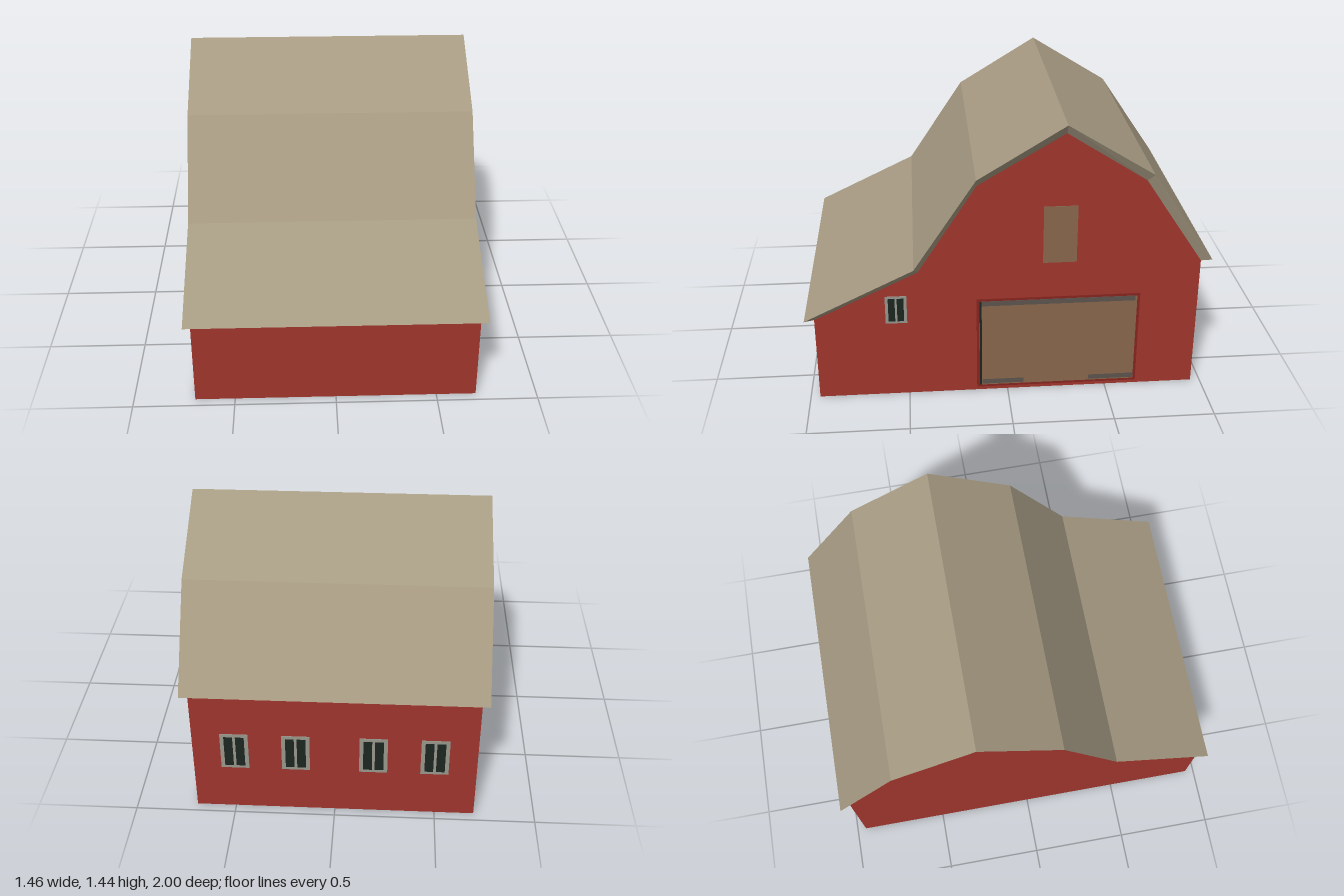
import * as THREE from 'three';

const mat = (name, color, side = THREE.FrontSide) => {
  const m = new THREE.MeshStandardMaterial({ color, side });
  m.name = name;
  return m;
};

export function createModel() {
  const red = mat('barn red', 0xa0352d);
  const darkRed = mat('trim red', 0x86241f);
  const tan = mat('roof tan', 0xa69a82, THREE.DoubleSide);
  const brown = mat('door brown', 0x89674b);
  const grey = mat('hardware grey', 0x5c534d);
  const pale = mat('window frame grey', 0x97978d);
  const glass = mat('dark glass', 0x1b2620);

  const barn = new THREE.Group();
  barn.name = 'barn';
  const WALL_X = 0.697, ROOF_X = 0.73, WALL_Z = 0.953;

  // Gable profiles as [z, y], from the front eave over the ridge to the back eave
  const outer = [[1, 0.46], [0.46, 0.72], [0.155, 1.18], [-0.27, 1.44], [-0.69, 1.18], [-1, 0.72]];
  const inner = [[WALL_Z, 0.45], [0.44, 0.692], [0.15, 1.14], [-0.27, 1.39], [-0.66, 1.14], [-WALL_Z, 0.7]];

  // Solid walls: gable outline extruded along x
  const outline = new THREE.Shape(
    [[WALL_Z, 0], ...inner, [-WALL_Z, 0]].map(([z, y]) => new THREE.Vector2(-z, y)));
  const wallGeo = new THREE.ExtrudeGeometry(outline, { depth: WALL_X * 2, bevelEnabled: false });
  wallGeo.translate(0, 0, -WALL_X).rotateY(Math.PI / 2);
  const walls = new THREE.Mesh(wallGeo, red);
  walls.name = 'walls';
  barn.add(walls);

  // Roof sheet with edges that slant in to meet the walls
  const pos = [];
  const pt = (x, [z, y]) => [x, y, z];
  const quad = (a, b, c, d) => pos.push(...a, ...b, ...c, ...a, ...c, ...d);
  for (let i = 0; i < outer.length - 1; i++) {
    const [o, p, q, r] = [outer[i], outer[i + 1], inner[i], inner[i + 1]];
    quad(pt(-ROOF_X, o), pt(ROOF_X, o), pt(ROOF_X, p), pt(-ROOF_X, p));
    quad(pt(ROOF_X, o), pt(WALL_X, q), pt(WALL_X, r), pt(ROOF_X, p));
    quad(pt(-ROOF_X, p), pt(-WALL_X, r), pt(-WALL_X, q), pt(-ROOF_X, o));
  }
  const last = outer.length - 1;
  quad(pt(-WALL_X, inner[0]), pt(WALL_X, inner[0]), pt(ROOF_X, outer[0]), pt(-ROOF_X, outer[0]));
  quad(pt(-ROOF_X, outer[last]), pt(ROOF_X, outer[last]), pt(WALL_X, inner[last]), pt(-WALL_X, inner[last]));
  const roofGeo = new THREE.BufferGeometry();
  roofGeo.setAttribute('position', new THREE.Float32BufferAttribute(pos, 3));
  roofGeo.computeVertexNormals();
  const roof = new THREE.Mesh(roofGeo, tan);
  roof.name = 'roof';
  barn.add(roof);

  // Thin plate lying on the local xy plane and rising to the given height
  const plate = (parent, name, m, x, y, w, h, t) => {
    const mesh = new THREE.Mesh(new THREE.BoxGeometry(w, h, t), m);
    mesh.position.set(x, y, t / 2);
    mesh.name = name;
    parent.add(mesh);
  };

  // Window: pale frame with two tall panes
  const makeWindow = (w, h) => {
    const g = new THREE.Group();
    g.name = 'window';
    plate(g, 'windowFrame', pale, 0, 0, w, h, 0.004);
    for (const s of [-1, 1]) plate(g, 'windowPane', glass, s * w * 0.205, 0, w * 0.31, h * 0.84, 0.006);
    return g;
  };

  // Four windows along the back wall
  for (const x of [-0.49, -0.19, 0.19, 0.49]) {
    const win = makeWindow(0.138, 0.21);
    win.position.set(x, 0.362, -WALL_Z);
    win.rotation.y = Math.PI;
    barn.add(win);
  }

  // Door gable: local x runs toward the back of the barn
  const gable = new THREE.Group();
  gable.name = 'doorGable';
  gable.position.x = WALL_X;
  gable.rotation.y = Math.PI / 2;
  barn.add(gable);

  const sideWindow = makeWindow(0.106, 0.15);
  sideWindow.position.set(-0.552, 0.49, 0);
  gable.add(sideWindow);
  plate(gable, 'loftDoor', brown, 0.252, 0.871, 0.165, 0.3, 0.004);

  // Large door with surround, shaded jamb and worn metal edging
  plate(gable, 'doorSurround', darkRed, 0.252, 0.274, 0.816, 0.512, 0.003);
  plate(gable, 'doorPanel', brown, 0.252, 0.274, 0.788, 0.486, 0.005);
  plate(gable, 'doorJamb', glass, -0.136, 0.274, 0.01, 0.486, 0.006);
  plate(gable, 'topEdging', grey, 0.252, 0.505, 0.77, 0.026, 0.006);
  plate(gable, 'bottomEdging', grey, -0.025, 0.05, 0.21, 0.026, 0.006);
  plate(gable, 'bottomEdging', grey, 0.53, 0.05, 0.23, 0.026, 0.006);

  return barn;
}
